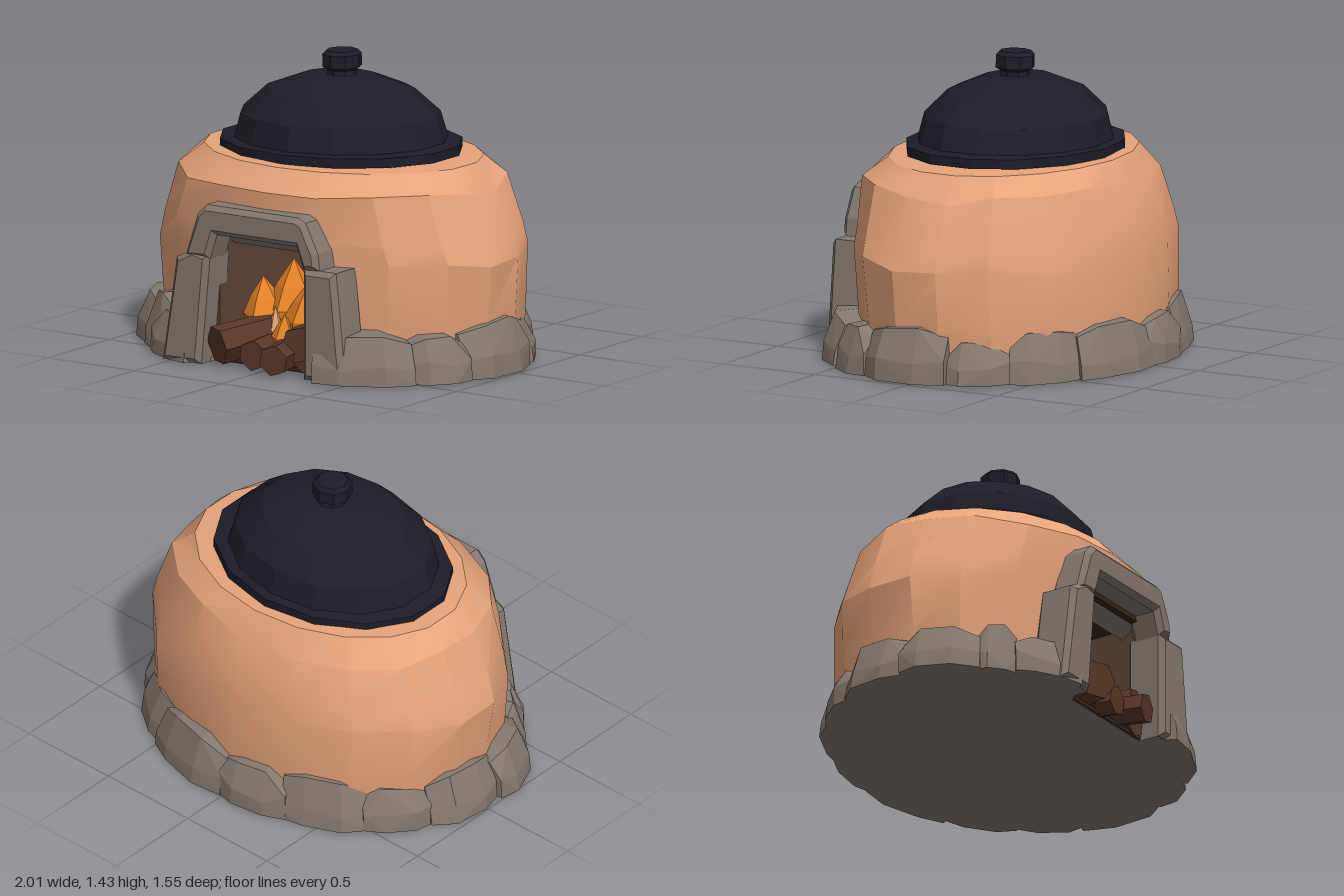
import * as THREE from 'three';
import { toCreasedNormals } from 'three/addons/utils/BufferGeometryUtils.js';
import { ConvexGeometry } from 'three/addons/geometries/ConvexGeometry.js';

const mat = (name, color, opts = {}) => {
  const m = new THREE.MeshStandardMaterial({ color, ...opts });
  m.name = name;
  return m;
};

export function createModel() {
  const clay = mat('clay', 0xe6a37a, { side: THREE.DoubleSide });
  const stone = mat('stone', 0x84786f, { flatShading: true });
  const iron = mat('darkIron', 0x1d1d28);
  const soot = mat('soot', 0x35261c);
  const innerWall = mat('scorchedClay', 0x5c4332);
  const wood = mat('wood', 0x5a3828, { flatShading: true });
  const flame = mat('flame', 0xf38a2a, { flatShading: true });
  const ember = mat('innerFlame', 0xf4b47c, { flatShading: true });

  const group = new THREE.Group();
  const add = (name, geometry, material, parent = group) => {
    const mesh = new THREE.Mesh(geometry, material);
    mesh.name = name;
    parent.add(mesh);
    return mesh;
  };
  const addGroup = (name) => {
    const g = new THREE.Group();
    g.name = name;
    group.add(g);
    return g;
  };
  let seed = 11;
  const jitter = (amount) => {
    seed = (seed * 16807) % 2147483647;
    return (seed / 2147483647 - 0.5) * 2 * amount;
  };

  // Clay body: squarish oval rings [y, half width, front depth, back depth], with a mouth left open in front
  const rings = [
    [0, 0.88, 0.60, 0.67], [0.24, 0.91, 0.61, 0.69], [0.52, 0.935, 0.63, 0.675],
    [0.64, 0.9, 0.64, 0.655], [0.85, 0.81, 0.645, 0.61], [0.955, 0.71, 0.55, 0.53], [0.965, 0.5, 0.4, 0.4],
  ];
  const mouth = 0.33, openRows = 3;
  const angles = [-mouth, 0];
  for (let i = 0; i <= 16; i++) angles.push(mouth + (i / 16) * (2 * Math.PI - 2 * mouth));
  const cols = angles.length, position = [], index = [];
  rings.forEach(([y, a, front, back], row) => {
    const start = position.length;
    angles.forEach((t, i) => {
      if (i === cols - 1) return position.push(...position.slice(start, start + 3));
      const c = Math.cos(t), rough = i > 2 && row < 5;
      const square = row < 5 ? (c > 0 ? 0.045 : 0.02) * Math.sin(2 * t) ** 2 : 0;
      const k = 1 + square + (rough ? jitter(0.01) : 0);
      const dy = rough && row > 0 ? jitter(0.03) : 0;
      position.push(k * a * Math.sin(t), y + dy, k * c * (c > 0 ? front : back));
    });
  });
  for (let r = 0; r < rings.length - 1; r++) {
    for (let i = 0; i < cols - 1; i++) {
      if (r < openRows && i < 2) continue;
      const a = r * cols + i, b = a + 1, c = b + cols, d = a + cols;
      index.push(a, b, c, a, c, d);
    }
  }
  const body = new THREE.BufferGeometry();
  body.setAttribute('position', new THREE.Float32BufferAttribute(position, 3));
  body.setIndex(index);
  add('clayBody', toCreasedNormals(body, 0.4), clay);

  // Firebox lining
  const firebox = addGroup('firebox');
  const slab = (name, w, h, d, x, y, z, m) => {
    const mesh = add(name, new THREE.BoxGeometry(w, h, d), m, firebox);
    mesh.position.set(x, y, z);
    return mesh;
  };
  for (const s of [-1, 1]) slab('fireboxWall', 0.03, 0.62, 0.8, s * 0.3, 0.32, 0.21, innerWall);
  slab('fireboxBack', 0.6, 0.62, 0.03, 0, 0.32, -0.18, soot);
  slab('fireboxCeiling', 0.6, 0.03, 0.8, 0, 0.62, 0.21, soot);
  slab('fireboxFloor', 0.6, 0.02, 0.8, 0, 0.015, 0.21, soot);
  slab('lintelUnderside', 0.56, 0.14, 0.03, 0, 0.605, 0.55, stone).rotation.x = 0.95;

  // Ring of rough foundation stones [start angle, reach, height], broken by the mouth
  const stones = addGroup('foundationStones');
  const ring = [
    [0.36, 1.06, 0.22], [0.85, 1.02, 0.21], [1.2, 1.0, 0.25], [1.78, 0.95, 0.19], [2.2, 0.97, 0.24],
    [2.62, 1.0, 0.23], [3.12, 0.98, 0.21], [3.5, 0.98, 0.24], [3.95, 0.97, 0.2], [4.35, 0.99, 0.23],
    [4.85, 1.03, 0.22], [5.3, 1.0, 0.25], [5.52, 1.04, 0.21], [5.87],
  ];
  for (let i = 0; i < ring.length - 1; i++) {
    const [t0, reach, h] = ring[i], span = ring[i + 1][0] - t0, pts = [];
    [-0.03, 0.25, 0.7, 1.03].forEach((f, j) => {
      const t = t0 + f * span, edge = j % 3 === 0 ? 1 : 0;
      const r = reach - edge * 0.03 + jitter(0.01), top = h - edge * 0.04 + jitter(0.012);
      for (const [k, y] of [[r + 0.01, 0], [r + jitter(0.008), 0.09 + jitter(0.03)], [r - 0.06, top],
        [0.82, top + 0.01], [0.74, 0]])
        pts.push(new THREE.Vector3(k * Math.sin(t), y, k * 0.785 * Math.cos(t)));
    });
    add('foundationStone', new ConvexGeometry(pts), stone, stones);
  }

  // Base slab with a notch at the mouth
  const outline = [];
  for (let i = 0; i <= 28; i++) {
    const t = 0.4 + (i / 28) * (2 * Math.PI - 0.8);
    outline.push(new THREE.Vector2(0.92 * Math.sin(t), -0.73 * Math.cos(t)));
  }
  outline.push(new THREE.Vector2(-0.28, -0.6), new THREE.Vector2(0.28, -0.6));
  const base = new THREE.ExtrudeGeometry(new THREE.Shape(outline), { depth: 0.02, bevelEnabled: false });
  add('baseSlab', base.rotateX(-Math.PI / 2), stone);

  // Stone surround of the mouth, extruded from front outlines with chamfered edges
  const surround = addGroup('mouthSurround');
  const block = (name, corners, z, depth) => {
    const bevel = 0.025;
    const shape = new THREE.Shape(corners.map(([x, y]) => new THREE.Vector2(x, y)));
    const g = new THREE.ExtrudeGeometry(shape, {
      depth: depth - 2 * bevel, bevelThickness: bevel, bevelSize: bevel, bevelOffset: -bevel, bevelSegments: 1,
    });
    add(name, g.translate(0, 0, z + bevel), stone, surround);
  };
  block('leftPillar', [[0.27, 0], [0.51, 0], [0.48, 0.3], [0.455, 0.53], [0.27, 0.53]], 0.53, 0.205);
  block('rightPillar', [[-0.54, 0], [-0.32, 0], [-0.27, 0.53], [-0.36, 0.55], [-0.46, 0.5]], 0.53, 0.205);
  block('lintel', [[-0.41, 0.51], [-0.27, 0.51], [-0.23, 0.63], [0.23, 0.63], [0.27, 0.52], [0.36, 0.53],
    [0.35, 0.61], [0.28, 0.75], [0.24, 0.77], [-0.29, 0.77], [-0.34, 0.72]], 0.56, 0.175);

  // Firewood
  const logs = addGroup('firewood');
  const up = new THREE.Vector3(0, 1, 0);
  const log = (from, to, r) => {
    const a = new THREE.Vector3(...from), b = new THREE.Vector3(...to), d = b.clone().sub(a);
    const m = add('log', new THREE.CylinderGeometry(r, r * 0.9, d.length(), 6), wood, logs);
    m.position.copy(a).add(b).multiplyScalar(0.5);
    m.quaternion.setFromUnitVectors(up, d.normalize());
  };
  log([-0.02, 0.17, 0.3], [-0.23, 0.1, 0.71], 0.095);
  log([-0.1, 0.09, 0.2], [-0.04, 0.07, 0.69], 0.075);
  log([0.02, 0.1, 0.25], [0.12, 0.075, 0.75], 0.075);
  log([0.08, 0.14, 0.2], [0.19, 0.14, 0.64], 0.09);
  log([0.2, 0.08, 0.2], [0.215, 0.075, 0.62], 0.075);

  // Flames: five-sided tongues, widest low down [x, z, tip height, radius, lean]
  const fire = addGroup('fire');
  const tongue = (name, [x, z, top, r, lean], m) => {
    const profile = [[0.6, 0], [1, 0.45], [0.62, 0.7], [0, 1]];
    const g = new THREE.LatheGeometry(profile.map(([k, y]) => new THREE.Vector2(k * r, y * (top - 0.05))), 5);
    const p = g.attributes.position;
    for (let i = 0; i < p.count; i++) p.setX(i, p.getX(i) + (lean * p.getY(i)) / top);
    add(name, g, m, fire).position.set(x, 0.05, z);
  };
  [[-0.05, 0.34, 0.48, 0.14, 0], [0.06, 0.42, 0.41, 0.115, 0.05], [-0.14, 0.4, 0.39, 0.12, -0.05],
    [0.12, 0.3, 0.37, 0.1, 0.05], [-0.19, 0.3, 0.32, 0.08, -0.04], [0.02, 0.2, 0.4, 0.12, 0.02],
    [0.01, 0.52, 0.25, 0.06, 0.02],
  ].forEach((f) => tongue('flame', f, flame));
  tongue('innerFlame', [-0.05, 0.49, 0.28, 0.035, 0], ember);

  // Iron lid: oval rim, domed cover and knob, tilted slightly
  const lid = addGroup('lid');
  lid.position.set(-0.015, 0.957, 0.006);
  lid.rotation.z = 0.022;
  const lathe = (name, profile, segments, sx, sz, crease) => {
    const g = new THREE.LatheGeometry(profile.map(([r, y]) => new THREE.Vector2(r, y)), segments);
    g.deleteAttribute('normal');
    g.deleteAttribute('uv');
    return add(name, toCreasedNormals(g.scale(sx, 1, sz), crease), iron, lid);
  };
  lathe('lidRim', [[0, 0], [1, 0], [1, 0.045], [0.86, 0.055]], 14, 0.618, 0.485, 0.5);
  lathe('lidDome', [[0.53, 0.03], [0.49, 0.17], [0.365, 0.28], [0.19, 0.345], [0, 0.36]], 14, 1.03, 0.84, 0.35);
  lathe('lidKnob', [[0.09, 0.32], [0.07, 0.36], [0.07, 0.375], [0.094, 0.39], [0.094, 0.45],
    [0.075, 0.468], [0, 0.468]], 8, 1, 1, 0.5).position.x = 0.014;

  return group;
}
